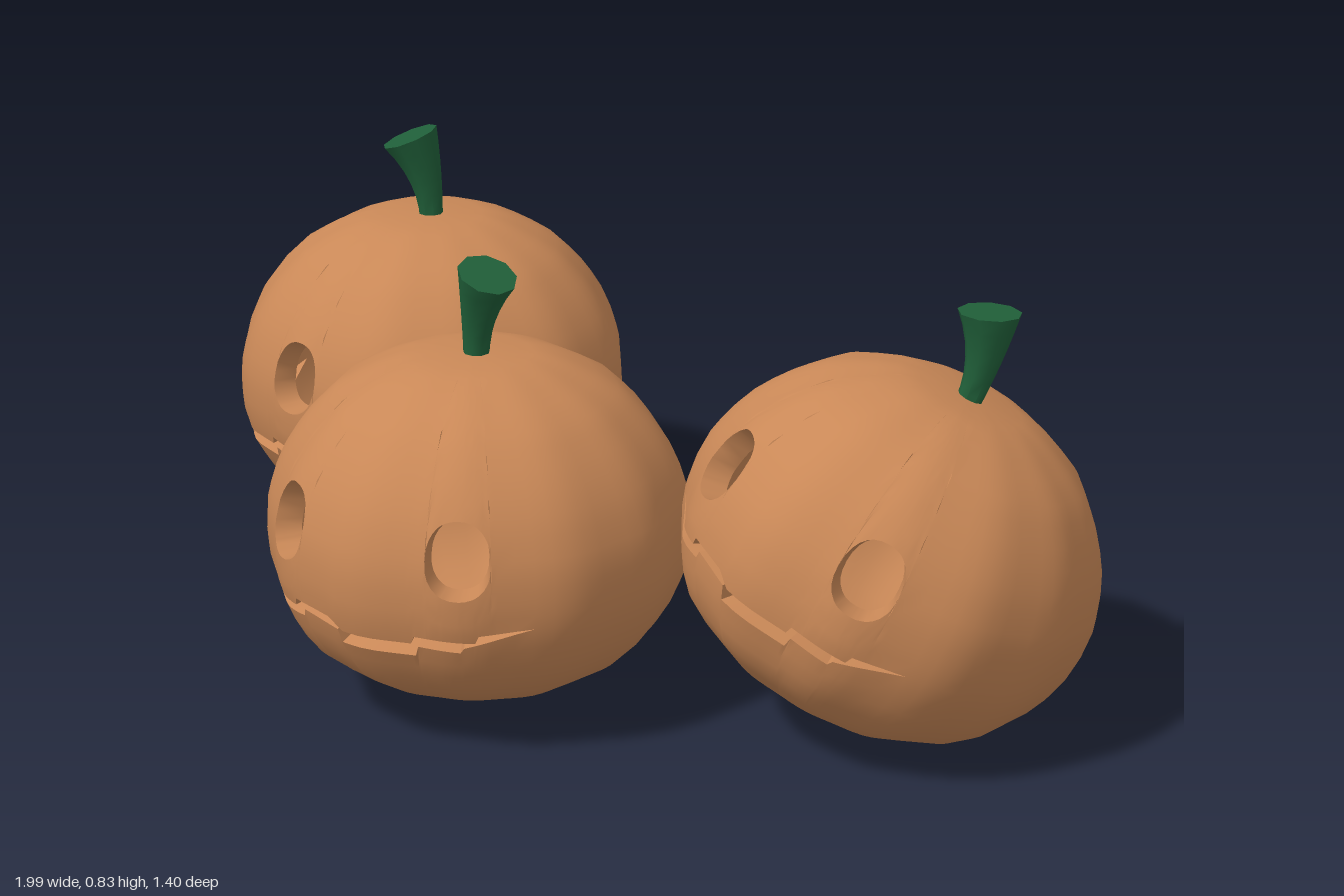
import * as THREE from 'three';
import { toCreasedNormals } from 'three/addons/utils/BufferGeometryUtils.js';

const rind = new THREE.MeshStandardMaterial({ color: 0xc98857 });
rind.name = 'pumpkinOrange';
const green = new THREE.MeshStandardMaterial({ color: 0x205f39 });
green.name = 'stemGreen';

const H = 0.58, INNER = 0.87, DEG = Math.PI / 180;

// Body profile: [height, radius]
const profile = [[0, 0.22], [0.05, 0.3], [0.09, 0.332], [0.14, 0.36], [0.2, 0.377], [0.25, 0.381], [0.3, 0.378],
  [0.35, 0.366], [0.41, 0.34], [0.47, 0.296], [0.515, 0.25], [0.55, 0.19], [0.57, 0.145], [H, 0.1]];
// Mouth edges: [angle in degrees, height]
const lowerLip = [[-50, 0.198], [-40, 0.165], [-34, 0.155], [-22, 0.16], [-21, 0.175], [-7, 0.165], [-6, 0.14],
  [17, 0.14], [18, 0.16], [30, 0.155], [31, 0.165], [50, 0.198]];
const upperLip = [[-50, 0.198], [-36, 0.19], [-35, 0.175], [-25, 0.175], [-24, 0.19], [-10, 0.185], [-5, 0.165],
  [16, 0.165], [17, 0.18], [34, 0.175], [35, 0.19], [50, 0.198]];
const eye = { angle: 29.5, y: 0.325, halfAngle: 9, halfHeight: 0.068 };

function lookup(table, x) {
  if (x <= table[0][0]) return table[0][1];
  for (let i = 1; i < table.length; i++) {
    const [x0, y0] = table[i - 1], [x1, y1] = table[i];
    if (x <= x1) return y0 + (y1 - y0) * (x - x0) / (x1 - x0);
  }
  return table[table.length - 1][1];
}

// Half height of the eye opening at an angle
function eyeHalf(deg) {
  const t = Math.abs(Math.abs(deg) - eye.angle) / eye.halfAngle;
  return t >= 0.9999 ? 0 : eye.halfHeight * Math.pow(1 - Math.pow(t, 2.3), 1 / 2.3);
}

// Point on the ribbed skin; heights outside 0..H are the poles
function skin(deg, y, scale) {
  const a = deg * DEG;
  const ribs = 1 + 0.01 * Math.cos(12 * a) + 0.006 * Math.cos(5 * a + 1);
  const r = y < 0 || y > H ? 0 : lookup(profile, y) * ribs * scale;
  const h = Math.min(H, Math.max(0, y));
  return [Math.sin(a) * r, H / 2 + (h - H / 2) * scale, Math.cos(a) * r];
}

function steps(from, to, n, ease = 1) {
  return Array.from({ length: n + 1 }, (_, i) => to - (to - from) * Math.pow(1 - i / n, ease));
}

// Hollow shell: three bands of skin with the mouth and eye openings between them
function makeShell() {
  const angles = [];
  for (let d = -180; d <= 180; d += 5) angles.push(d);
  for (const [d] of [...lowerLip, ...upperLip]) angles.push(d);
  for (const side of [-1, 1]) {
    for (let i = 0; i <= 14; i++) angles.push(side * eye.angle - eye.halfAngle * Math.cos(Math.PI * i / 14));
  }
  angles.sort((a, b) => a - b);
  const columns = angles.filter((d, i) => i === 0 || d - angles[i - 1] > 1e-3).map((deg) => {
    const half = eyeHalf(deg);
    return { deg, bands: [
      [-1, ...steps(0, lookup(lowerLip, deg), 5)],
      steps(lookup(upperLip, deg), eye.y - half, 5),
      [...steps(eye.y + half, H, 10, 1.5), 1],
    ] };
  });

  const positions = [];
  const triangle = (a, b, c) => {
    const same = (p, q) => Math.hypot(p[0] - q[0], p[1] - q[1], p[2] - q[2]) < 1e-5;
    if (!same(a, b) && !same(b, c) && !same(c, a)) positions.push(...a, ...b, ...c);
  };
  const quad = (a, b, c, d) => { triangle(a, b, c); triangle(a, c, d); };

  for (let i = 0; i + 1 < columns.length; i++) {
    const p = columns[i], q = columns[i + 1];
    // Outer and inner skin
    p.bands.forEach((rows, k) => {
      for (let j = 0; j + 1 < rows.length; j++) {
        const corners = (s) => [skin(p.deg, rows[j], s), skin(q.deg, q.bands[k][j], s),
          skin(q.deg, q.bands[k][j + 1], s), skin(p.deg, rows[j + 1], s)];
        quad(...corners(1));
        quad(...corners(INNER).reverse());
      }
    });
    // Cut walls of the openings
    for (const k of [0, 1]) {
      const pl = p.bands[k].at(-1), ql = q.bands[k].at(-1);
      const pu = p.bands[k + 1][0], qu = q.bands[k + 1][0];
      if (pu - pl < 1e-5 && qu - ql < 1e-5) continue;
      const wall = (y0, y1) => [skin(p.deg, y0, 1), skin(q.deg, y1, 1), skin(q.deg, y1, INNER), skin(p.deg, y0, INNER)];
      quad(...wall(pl, ql));
      quad(...wall(pu, qu).reverse());
    }
  }
  const geometry = new THREE.BufferGeometry();
  geometry.setAttribute('position', new THREE.Float32BufferAttribute(positions, 3));
  return toCreasedNormals(geometry, 0.7);
}

// Flared stem that bends towards +x, with a slanted top
function makeStem() {
  const geometry = new THREE.CylinderGeometry(1, 1, 1, 9, 6);
  const pos = geometry.attributes.position;
  for (let i = 0; i < pos.count; i++) {
    const t = pos.getY(i) + 0.5;
    const r = 0.023 + 0.03 * Math.pow(t, 1.8);
    const x = pos.getX(i) * r, z = pos.getZ(i) * r;
    pos.setXYZ(i, x + 0.04 * t * t, 0.56 + 0.175 * t - x * 0.4 * t, z);
  }
  return toCreasedNormals(geometry, 0.8);
}

export function createModel() {
  const model = new THREE.Group();
  model.name = 'carvedPumpkins';
  const shell = makeShell(), stem = makeStem();

  // Centre of each pumpkin, its right and up axes, and the stem's turn
  const turn = -41 * DEG;
  const layout = [
    { name: 'frontPumpkin', at: [-0.07, 0.34, 0.31], right: [1, 0, 0], up: [0, 1, 0], stemTurn: -23 },
    { name: 'backPumpkin', at: [-0.62, 0.34, -0.32], right: [Math.cos(turn), 0, -Math.sin(turn)], up: [0, 1, 0], stemTurn: -109 },
    { name: 'tiltedPumpkin', at: [0.63, 0.333, 0.013], right: [0.92, -0.316, 0.23], up: [0.327, 0.92, -0.21], stemTurn: -140 },
  ];
  for (const { name, at, right, up, stemTurn } of layout) {
    const pumpkin = new THREE.Group();
    pumpkin.name = name;
    const x = new THREE.Vector3(...right).normalize();
    const z = x.clone().cross(new THREE.Vector3(...up)).normalize();
    const y = z.clone().cross(x);
    pumpkin.quaternion.setFromRotationMatrix(new THREE.Matrix4().makeBasis(x, y, z));
    pumpkin.position.set(...at);

    const body = new THREE.Mesh(shell, rind);
    body.name = 'carvedShell';
    const stalk = new THREE.Mesh(stem, green);
    stalk.name = 'stem';
    stalk.rotation.y = stemTurn * DEG;
    for (const part of [body, stalk]) {
      part.position.y = -H / 2;
      pumpkin.add(part);
    }
    model.add(pumpkin);
  }
  return model;
}
